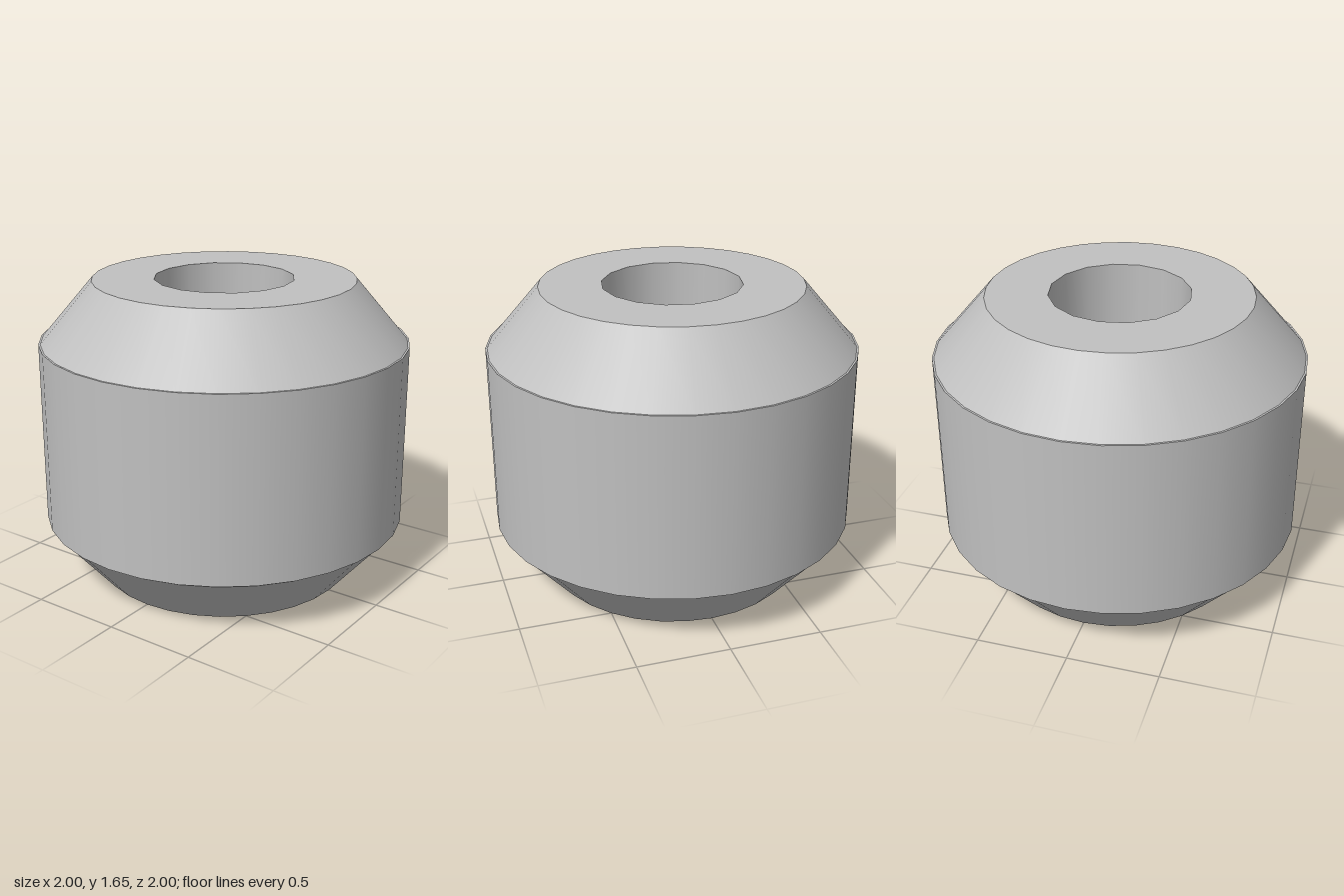
import * as THREE from 'three';

const HEIGHT = 1.655, LOW = 0.33, HIGH = 1.325;
const BAND = 1, CONE = 0.99, FACE = 0.708, BORE = 0.377;

// Regular polygon outline with a corner on the x axis
function ring(radius, sides) {
  return Array.from({ length: sides }, (_, i) => {
    const a = (i / sides) * Math.PI * 2;
    return new THREE.Vector2(radius * Math.cos(a), radius * Math.sin(a));
  });
}

export function createModel() {
  const group = new THREE.Group();
  group.name = 'beveledCollar';
  const grey = new THREE.MeshStandardMaterial({ color: 0xc0c0c0 });
  grey.name = 'plain grey';

  const add = (name, geometry) => {
    const mesh = new THREE.Mesh(geometry, grey);
    mesh.name = name;
    group.add(mesh);
    return mesh;
  };

  // Turned surfaces, kept separate so that their shared edges stay sharp;
  // a profile running upwards faces out, one running downwards faces in
  const turned = [
    ['lowerBevel', FACE, 0, CONE, LOW, 32],
    ['lowerLedge', CONE, LOW, BAND, LOW, 32],
    ['outerBand', BAND, LOW, BAND, HIGH, 32],
    ['upperLedge', BAND, HIGH, CONE, HIGH, 32],
    ['upperBevel', CONE, HIGH, FACE, HEIGHT, 32],
    ['bore', BORE, HEIGHT, BORE, 0, 16],
  ];
  for (const [name, r0, y0, r1, y1, sides] of turned) {
    add(name, new THREE.LatheGeometry([new THREE.Vector2(r0, y0), new THREE.Vector2(r1, y1)], sides));
  }

  // Flat end faces with the round opening
  const face = new THREE.Shape(ring(FACE, 32));
  face.holes.push(new THREE.Path(ring(BORE, 16)));
  for (const [name, y, turn] of [['topFace', HEIGHT, -1], ['bottomFace', 0, 1]]) {
    const mesh = add(name, new THREE.ShapeGeometry(face));
    mesh.rotation.x = turn * Math.PI / 2;
    mesh.position.y = y;
  }
  return group;
}
